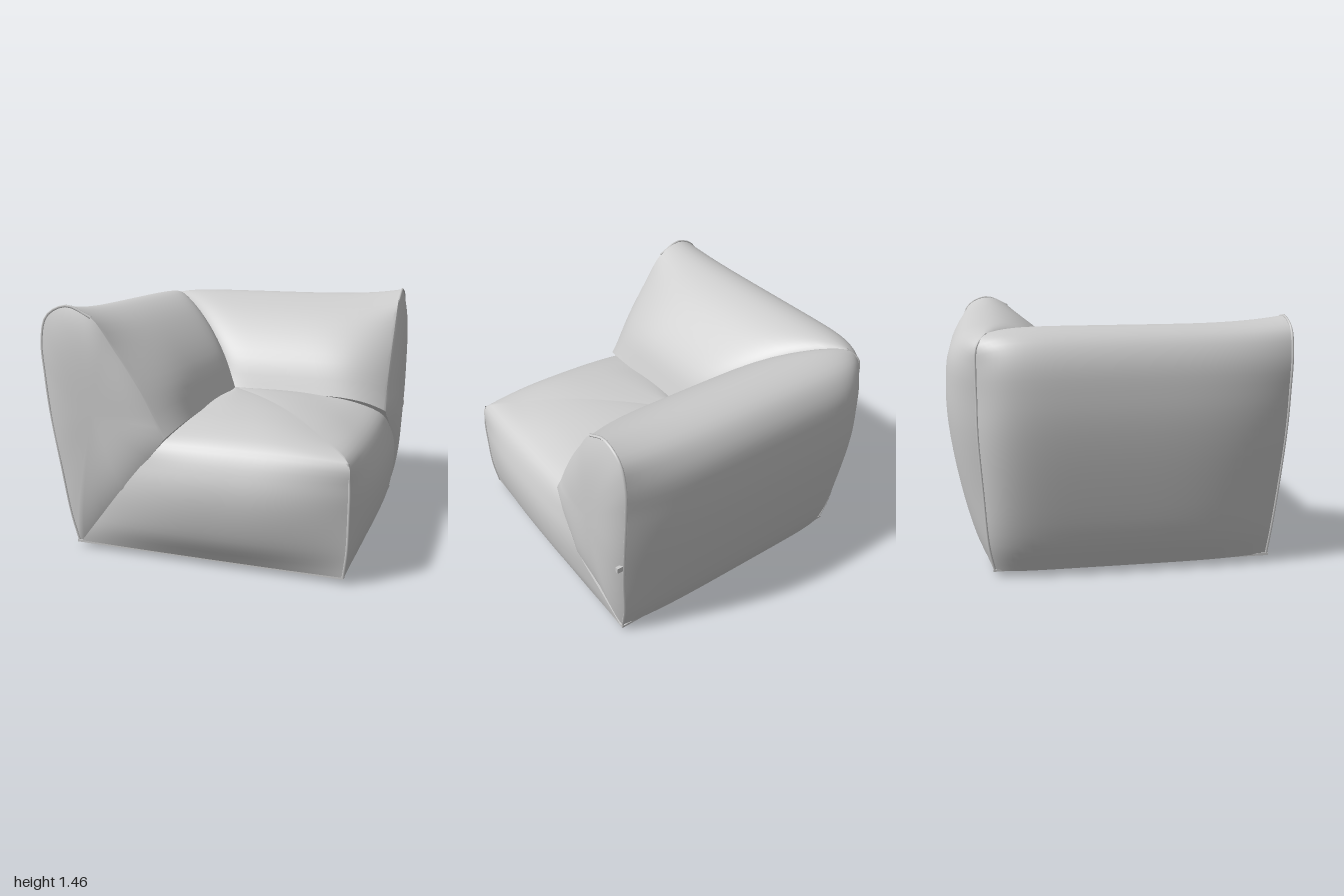
import * as THREE from 'three';
import { mergeGeometries, mergeVertices, toCreasedNormals } from 'three/addons/utils/BufferGeometryUtils.js';

const { lerp, clamp, smoothstep } = THREE.MathUtils;
const material = new THREE.MeshStandardMaterial({ color: 0xcccccc, roughness: 0.8, side: THREE.DoubleSide });

// Smooth curve through 2D points, sampled evenly by control point
function sample(points, n) {
  const curve = new THREE.CatmullRomCurve3(points.map(([a, b]) => new THREE.Vector3(a, b, 0)));
  return Array.from({ length: n + 1 }, (_, i) => curve.getPoint(i / n)).map(p => [p.x, p.y]);
}

// Skin a surface over rows of [x, y, z] points
function loft(rows) {
  const n = rows[0].length, index = [];
  for (let i = 0; i < rows.length - 1; i++) {
    for (let j = 0; j < n - 1; j++) {
      const a = i * n + j, b = a + n;
      index.push(a, b, a + 1, a + 1, b, b + 1);
    }
  }
  const geo = new THREE.BufferGeometry();
  geo.setAttribute('position', new THREE.Float32BufferAttribute(rows.flat(2), 3));
  geo.setIndex(index);
  return geo;
}

// Mirror across the diagonal plane x = z
function swapped(geo) {
  const g = geo.clone(), p = g.attributes.position, ix = g.index;
  for (let i = 0; i < p.count; i++) p.setXYZ(i, p.getZ(i), p.getY(i), p.getX(i));
  for (let i = 0; i < ix.count; i += 3) {
    const a = ix.getX(i);
    ix.setX(i, ix.getX(i + 1));
    ix.setX(i + 1, a);
  }
  g.computeVertexNormals();
  return g;
}

// Sew panels together, smooth except where they meet at more than the given angle
function sew(panels, angle) {
  const bare = panels.map(g => g.clone().deleteAttribute('normal'));
  return toCreasedNormals(mergeVertices(mergeGeometries(bare), 1e-4), angle);
}

// Blend three profiles along t: first at 0, middle in between, last at 1
function blend(first, middle, last, t, sharpFirst, sharpLast) {
  const w = Math.pow(Math.abs(2 * t - 1), t < 0.5 ? sharpFirst : sharpLast);
  const edge = t < 0.5 ? first : last;
  return middle.map((m, j) => [lerp(m[0], edge[j][0], w), lerp(m[1], edge[j][1], w)]);
}

// Wall cross-sections [x, y], from the outer bottom edge over the top to the seat
const wallMiter = [[-.75, .03], [-.78, .2], [-.8, .5], [-.82, .85], [-.82, 1.05], [-.82, 1.2],
  [-.81, 1.32], [-.76, 1.38], [-.6, 1.33], [-.38, 1.2], [-.2, 1.02], [-.08, .82]];
const wallMiddle = [[-.78, .03], [-.85, .2], [-.915, .5], [-.965, .85], [-.97, 1.05], [-.945, 1.25],
  [-.87, 1.37], [-.72, 1.41], [-.55, 1.36], [-.34, 1.21], [-.17, 1.02], [-.08, .82]];
const wallEnd = [[-.75, .04], [-.79, .2], [-.83, .5], [-.88, .85], [-.9, 1.05], [-.91, 1.25],
  [-.87, 1.39], [-.74, 1.45], [-.59, 1.39], [-.45, 1.21], [-.3, .99], [-.16, .73]];

// Seat cross-sections [distance outward, y], from the inner corner to the bottom edge
const seatStart = [[-.1, .82], [.2, .835], [.45, .825], [.7, .79], [.88, .7], [.925, .56], [.93, .42], [.89, .2], [.86, .04]];
const seatFront = [[-.1, .835], [.2, .85], [.5, .84], [.75, .795], [.9, .71], [.975, .56], [.995, .42], [.955, .2], [.87, .04]];
const seatSide = [[-.1, .835], [.2, .85], [.48, .83], [.73, .77], [.88, .69], [.945, .56], [.965, .42], [.935, .2], [.87, .04]];
const seatCorner = [[-.1, .835], [.2, .845], [.45, .825], [.68, .765], [.87, .69], [.885, .55], [.885, .4], [.88, .2], [.86, .04]];

// Sloping seam between wall and seat, and the depth of the wall's end
const seamX = y => -.72 + .64 * clamp((y - .04) / .78, 0, 1);
const endZ = (x, y) => .85 + .04 * smoothstep(y, 0, .8)
  + .06 * Math.sin(Math.PI * clamp(y / .84, 0, 1)) ** 2 * smoothstep(x, -.85, -.4);

// Close a wall section along the sloping seam
const closed = pts => [...pts, ...[.62, .42, .22, .04].map(y => [seamX(y), y]), pts[0]];

// Wall from the rear miter to its free end; bulge pads the outer side further
function wallGeometry(bulge) {
  const padded = wallMiddle.map(([x, y]) => [x - bulge * smoothstep(-x, .8, .95), y]);
  const [A, M, E] = [wallMiter, padded, wallEnd].map(p => closed(sample(p, 44)));
  const rows = [], steps = 40;
  for (let i = 0; i <= steps; i++) {
    const t = 0.5 - 0.5 * Math.cos(Math.PI * i / steps);
    rows.push(blend(A, M, E, t, 8, 3.5).map(([x, y], j) =>
      [x, y, lerp(A[j][0], endZ(...E[j]), t)]));
  }
  return loft(rows);
}

// Softly domed panel closing the free end of a wall
function wallEndGeometry() {
  const E = closed(sample(wallEnd, 44)), rows = [], steps = 14;
  const cx = -.58, cy = .85;
  for (let i = 0; i <= steps; i++) {
    const r = Math.cos(Math.PI / 2 * i / steps);
    rows.push(E.map(([x, y]) => [lerp(cx, x, r), lerp(cy, y, r),
      lerp(.895, endZ(x, y), r * r) + .05 * (1 - r ** 4)]));
  }
  return loft(rows);
}

// Half of the seat: top triangle and outer panel, from the free corner to the wall
function seatGeometry(middle) {
  const [S, M, C] = [seatStart, middle, seatCorner].map(p => sample(p, 40));
  const rows = [], steps = 32;
  for (let i = 0; i <= steps; i++) {
    const t = 0.5 + 0.5 * Math.cos(Math.PI * i / steps);
    rows.push(blend(S, M, C, t, 2.5, 2.5).map(([q, y], j) =>
      [lerp(seamX(S[j][1]) - .01, C[j][0], t), y, q]));
  }
  return loft(rows);
}

// Thin piping along a seam
function pipingGeometry(points) {
  const curve = new THREE.CatmullRomCurve3(points.map(p => new THREE.Vector3(...p)));
  return new THREE.TubeGeometry(curve, 40, 0.008, 6);
}

export function createModel() {
  const model = new THREE.Group();
  const add = (name, geo, x = 0, y = 0, z = 0) => {
    const mesh = new THREE.Mesh(geo, material);
    mesh.name = name;
    mesh.position.set(x, y, z);
    model.add(mesh);
    return mesh;
  };

  // Two padded walls meeting at the rear corner
  const end = wallEndGeometry();
  const endSeam = pipingGeometry(wallEnd.slice(0, 9).map(([x, y]) => [x, y, endZ(x, y)]));
  add('armrest', sew([wallGeometry(0), end], 0.8));
  add('armrestPiping', endSeam);
  add('backrest', sew([swapped(wallGeometry(.025)), swapped(end)], 0.8));
  add('backrestPiping', swapped(endSeam));
  add('rearCornerPiping', pipingGeometry(wallMiter.slice(0, 8).map(([x, y]) => [x, y, x])));

  // Seat cushion, smooth on top and creased at the free corner
  add('seat', sew([seatGeometry(seatFront), swapped(seatGeometry(seatSide))], 0.75));
  add('seatCornerPiping', pipingGeometry(seatCorner.slice(4).map(([q, y]) => [q, y, q])));

  // Underside with four small feet
  add('underside', new THREE.BoxGeometry(1.62, .015, 1.62), .05, .036, .05);
  for (const x of [-.47, .73]) {
    for (const z of [-.65, .7]) {
      add('foot', new THREE.ConeGeometry(.02, .035, 8), x, .0175, z).rotation.x = Math.PI;
    }
  }

  // Fabric tab on the backrest's end
  add('tab', new THREE.BoxGeometry(.05, .035, .02), .9, .64, -.84);
  return model;
}
